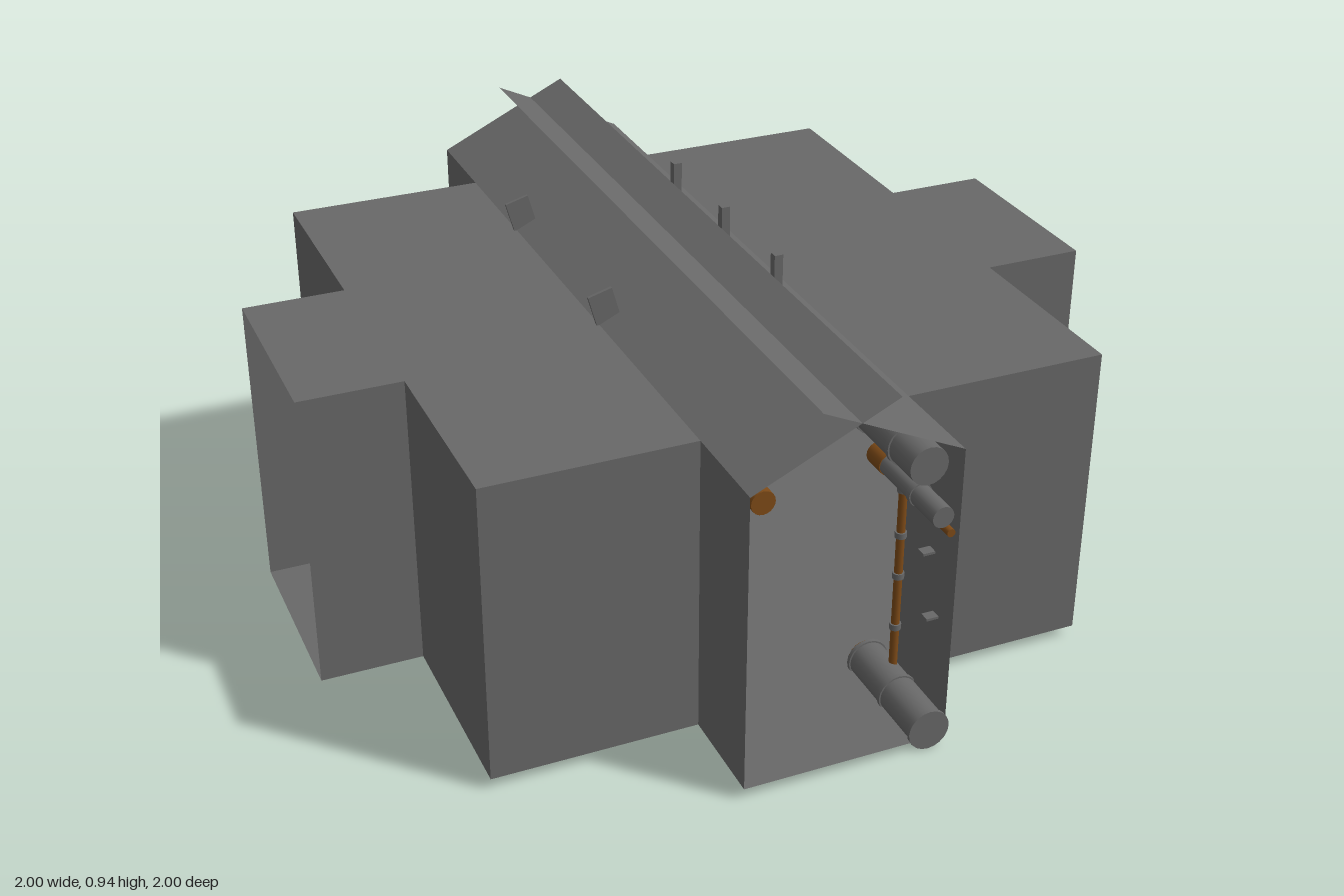
import * as THREE from 'three';

const steel = new THREE.MeshStandardMaterial({ color: 0x686868, side: THREE.DoubleSide });
steel.name = 'grey steel';
const rust = new THREE.MeshStandardMaterial({ color: 0x7d4a17 });
rust.name = 'rust orange';

const FLOOR = 0.03, CEIL = 0.78;

export function createModel() {
  const root = new THREE.Group();
  root.name = 'corridorCrossing';

  function add(name, geometry, material, x = 0, y = 0, z = 0) {
    const m = new THREE.Mesh(geometry, material);
    m.name = name;
    m.position.set(x, y, z);
    root.add(m);
    return m;
  }

  // Flat sheet through four corners
  function sheet(name, a, b, c, d) {
    const g = new THREE.BufferGeometry();
    g.setAttribute('position', new THREE.Float32BufferAttribute([...a, ...b, ...c, ...d], 3));
    g.setIndex([0, 1, 2, 0, 2, 3]);
    g.computeVertexNormals();
    return add(name, g, steel);
  }

  // Pipe running along z between two ends
  function pipe(name, x, y, r, z0, z1, material) {
    const g = new THREE.CylinderGeometry(r, r, Math.abs(z1 - z0), 20).rotateX(Math.PI / 2);
    return add(name, g, material, x, y, (z0 + z1) / 2);
  }

  // Horizontal plate from its plan outline
  function plate(name, outline, y) {
    const shape = new THREE.Shape(outline.map(([x, z]) => new THREE.Vector2(x, -z)));
    return add(name, new THREE.ShapeGeometry(shape).rotateX(-Math.PI / 2), steel, 0, y, 0);
  }

  // Walls: one stepped quarter, mirrored to all four
  const quarter = [[0.25, 1], [0.25, 0.75], [0.75, 0.75], [0.75, 0.25], [1, 0.25]];
  for (const sx of [1, -1]) for (const sz of [1, -1]) {
    for (let i = 0; i < quarter.length - 1; i++) {
      const [x0, z0] = quarter[i], [x1, z1] = quarter[i + 1];
      sheet('wall', [sx * x0, FLOOR, sz * z0], [sx * x1, FLOOR, sz * z1],
        [sx * x1, CEIL, sz * z1], [sx * x0, CEIL, sz * z0]);
    }
  }

  // Floor and the two flat ceilings beside the central strip
  const side = [...quarter, ...quarter.slice().reverse().map(([x, z]) => [x, -z])];
  plate('floor', [...side, ...side.slice().reverse().map(([x, z]) => [-x, z])], FLOOR);
  for (const s of [1, -1]) plate('ceiling', side.map(([x, z]) => [s * x, z]), CEIL);

  // Two sloping roof sheets that cross above the corridor
  for (const s of [1, -1]) {
    sheet('roofPanel', [s * 0.25, CEIL, 1], [s * 0.25, CEIL, -1],
      [-s * 0.09, 0.94, -1], [-s * 0.09, 0.94, 1]);
  }

  // Overhead pipe with collars and hangers
  pipe('overheadPipe', 0.165, 0.757, 0.046, -1, 1, steel);
  for (let i = -6; i <= 6; i++) {
    pipe('overheadCollar', 0.165, 0.757, 0.05, i * 0.15 - 0.007, i * 0.15 + 0.007, steel);
  }
  for (const z of [0.25, -0.05, -0.35]) {
    add('pipeHanger', new THREE.BoxGeometry(0.022, 0.125, 0.022), steel, 0.165, 0.863, z);
  }

  // Slim pipe under the eave in alternating sections, with slanted brackets
  for (let i = 0; i < 20; i++) {
    const z = -1 + i * 0.1;
    pipe('eavePipeSection', -0.22, 0.76, 0.028, z, z + 0.1, i % 2 && i < 19 ? steel : rust);
  }
  for (const z of [-0.42, 0.16]) {
    add('eaveBracket', new THREE.BoxGeometry(0.062, 0.13, 0.008), steel, -0.23, 0.80, z).rotation.z = 0.27;
  }

  // Service pipes on the wall of both long arms
  for (const s of [1, -1]) {
    pipe('wallPipe', 0.208, 0.62, 0.026, s, s * 0.76, steel);
    pipe('wallPipeEnd', 0.208, 0.62, 0.028, s * 0.76, s * 0.7, rust);
    pipe('wallPipeCollar', 0.208, 0.62, 0.029, s * 0.9, s * 0.885, steel);
    pipe('feedPipe', 0.23, 0.575, 0.01, s, s * 0.79, rust);
    add('downPipe', new THREE.CylinderGeometry(0.01, 0.01, 0.52, 12), rust, 0.228, 0.325, s * 0.79);
    for (const y of [0.2, 0.34, 0.45, 0.57]) {
      add('downPipeCollar', new THREE.CylinderGeometry(0.014, 0.014, 0.015, 12), steel, 0.228, y, s * 0.79);
    }
    // Floor pipe
    const outer = s > 0 ? steel : rust;
    pipe('floorPipeOuter', 0.21, 0.052, 0.047, s, s * 0.85, outer);
    pipe('floorPipeInner', 0.21, 0.052, 0.047, s * 0.85, s * 0.7, steel);
    pipe('floorPipeCap', 0.21, 0.052, 0.045, s * 0.7, s * 0.688, s > 0 ? rust : steel);
    for (const z of [0.995, 0.85, 0.7]) {
      pipe('floorPipeCollar', 0.21, 0.052, 0.051, s * z - 0.005, s * z + 0.005, z > 0.9 ? outer : steel);
    }
  }

  // Small tabs poking through the wall
  for (const [y, z, x1] of [[0.465, 0.895, 0.28], [0.312, 0.928, 0.29], [0.312, -0.775, 0.28]]) {
    add('wallTab', new THREE.BoxGeometry(x1 - 0.22, 0.006, 0.025), steel, (x1 + 0.22) / 2, y, z);
  }
  add('wallTab', new THREE.BoxGeometry(0.06, 0.025, 0.006), steel, 0.245, 0.577, -0.878);

  return root;
}
